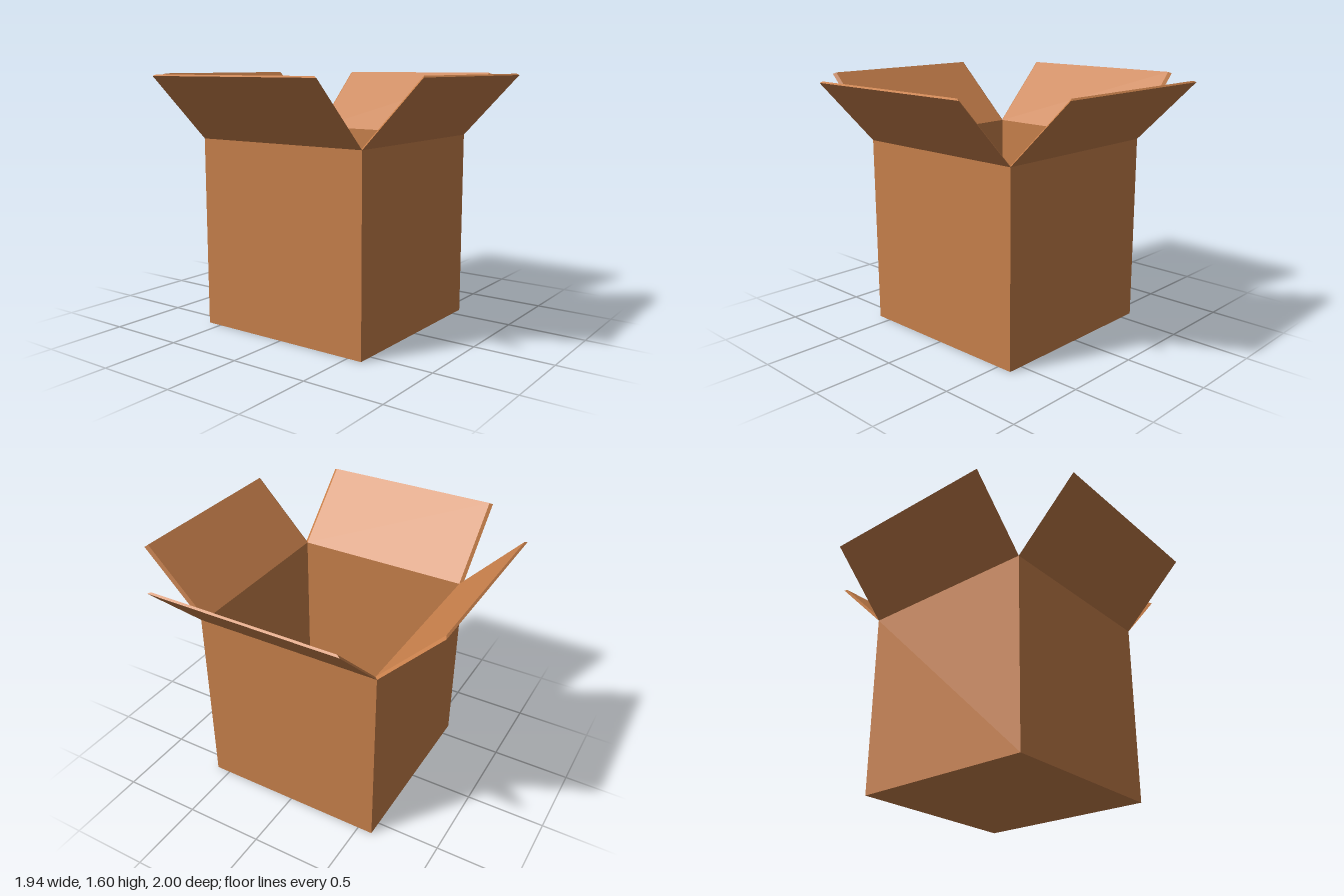
import * as THREE from 'three';

const HX = 0.595, HZ = 0.597; // half width and half depth of the carton
const H = 1.2, TOP = 1.6, T = 0.02; // wall height, flap tip height, board thickness

function rectangle(ShapeType, hx, hz) {
  return new ShapeType([[-hx, -hz], [hx, -hz], [hx, hz], [-hx, hz]].map(p => new THREE.Vector2(...p)));
}

// Flap leaning out over +z, with mitred edges: the inner face is smaller than the outer one
function flapGeometry(halfWidth, base, tip) {
  const g = new THREE.BoxGeometry(1, 1, 1);
  const p = g.attributes.position;
  for (let i = 0; i < p.count; i++) {
    const side = Math.sign(p.getX(i)), isTip = p.getY(i) > 0, isOuter = p.getZ(i) > 0;
    const x = side * (isOuter ? halfWidth : halfWidth - T);
    const y = isTip ? (isOuter ? TOP - 0.009 : TOP) : H;
    const z = isTip ? (isOuter ? tip : tip - 0.011) : (isOuter ? base : base - T);
    p.setXYZ(i, x, y, z);
  }
  g.computeVertexNormals();
  return g;
}

export function createModel() {
  const model = new THREE.Group();
  model.name = 'openBox';
  const cardboard = new THREE.MeshStandardMaterial({ color: 0xc8804b });
  cardboard.name = 'cardboard';

  const add = (name, geometry) => {
    const mesh = new THREE.Mesh(geometry, cardboard);
    mesh.name = name;
    model.add(mesh);
    return mesh;
  };

  // Four walls as one hollow frame
  const frame = rectangle(THREE.Shape, HX, HZ);
  frame.holes.push(rectangle(THREE.Path, HX - T, HZ - T));
  const walls = new THREE.ExtrudeGeometry(frame, { depth: H, bevelEnabled: false });
  walls.rotateX(-Math.PI / 2);
  add('walls', walls);

  // Floor panel inside the frame
  add('floor', new THREE.BoxGeometry(2 * (HX - T), T, 2 * (HZ - T))).position.y = T / 2;

  // Four open flaps, turned around the rim
  ['frontFlap', 'leftFlap', 'backFlap', 'rightFlap'].forEach((name, i) => {
    const g = i % 2 ? flapGeometry(HZ, HX, 0.968) : flapGeometry(HX, HZ, 1.0);
    add(name, g).rotation.y = i * Math.PI / 2;
  });

  return model;
}
